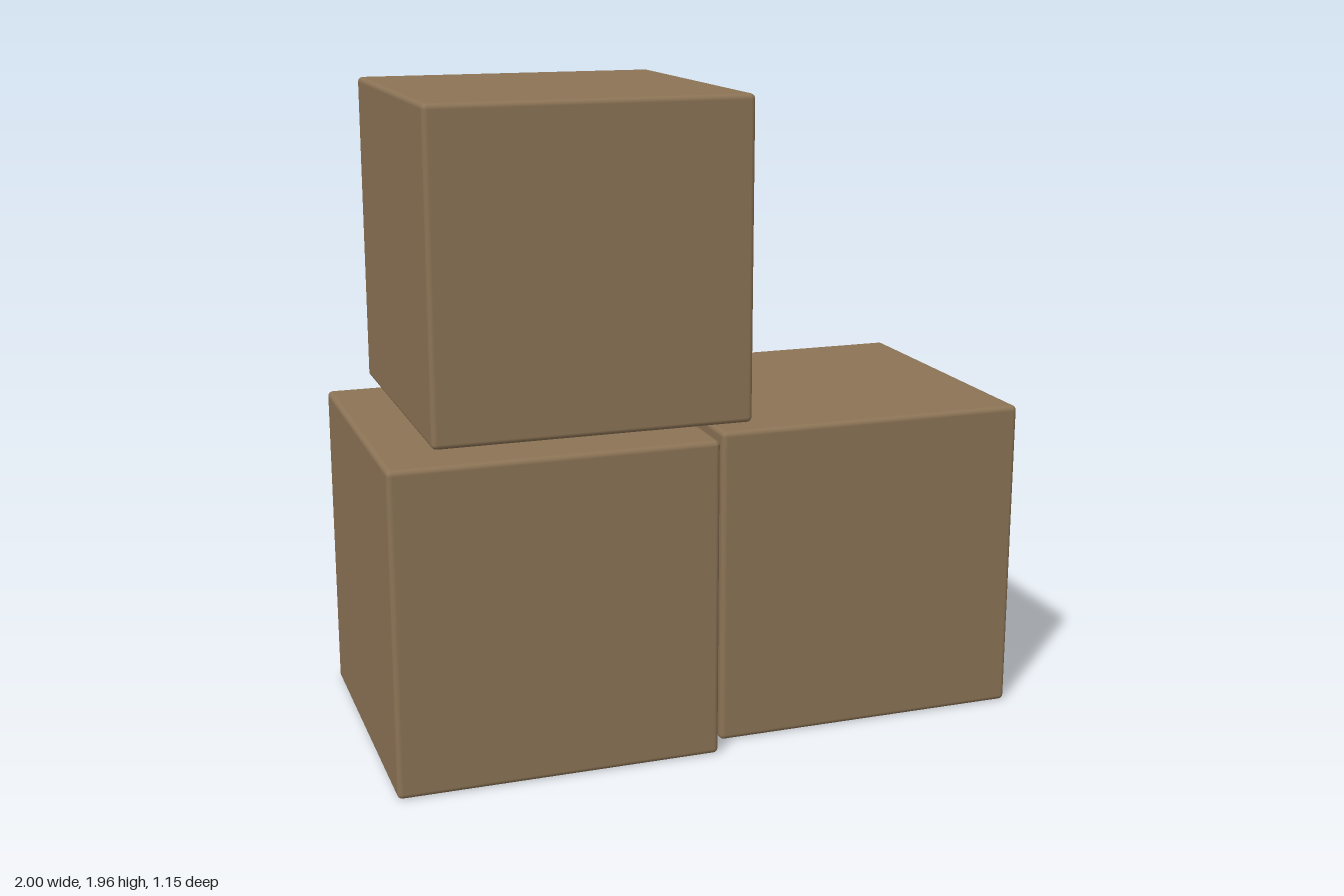
import * as THREE from 'three';
import { RoundedBoxGeometry } from 'three/addons/geometries/RoundedBoxGeometry.js';

const SIZE = 0.982; // edge length of every crate
const BEVEL = 0.016; // softened edges

export function createModel() {
  const group = new THREE.Group();
  group.name = 'boxStack';

  const geometry = new RoundedBoxGeometry(SIZE, SIZE, SIZE, 3, BEVEL);
  const material = new THREE.MeshStandardMaterial({ color: 0x8b7355 });

  // Two boxes side by side, one resting across them
  const boxes = [
    ['lowerRightBox', -0.509, 0, 0.082],
    ['lowerLeftBox', 0.509, 0, 0],
    ['upperBox', -0.345, 1, -0.082],
  ];
  for (const [name, x, level, z] of boxes) {
    const box = new THREE.Mesh(geometry, material);
    box.name = name;
    box.position.set(x, SIZE * (level + 0.5), z);
    group.add(box);
  }
  return group;
}
